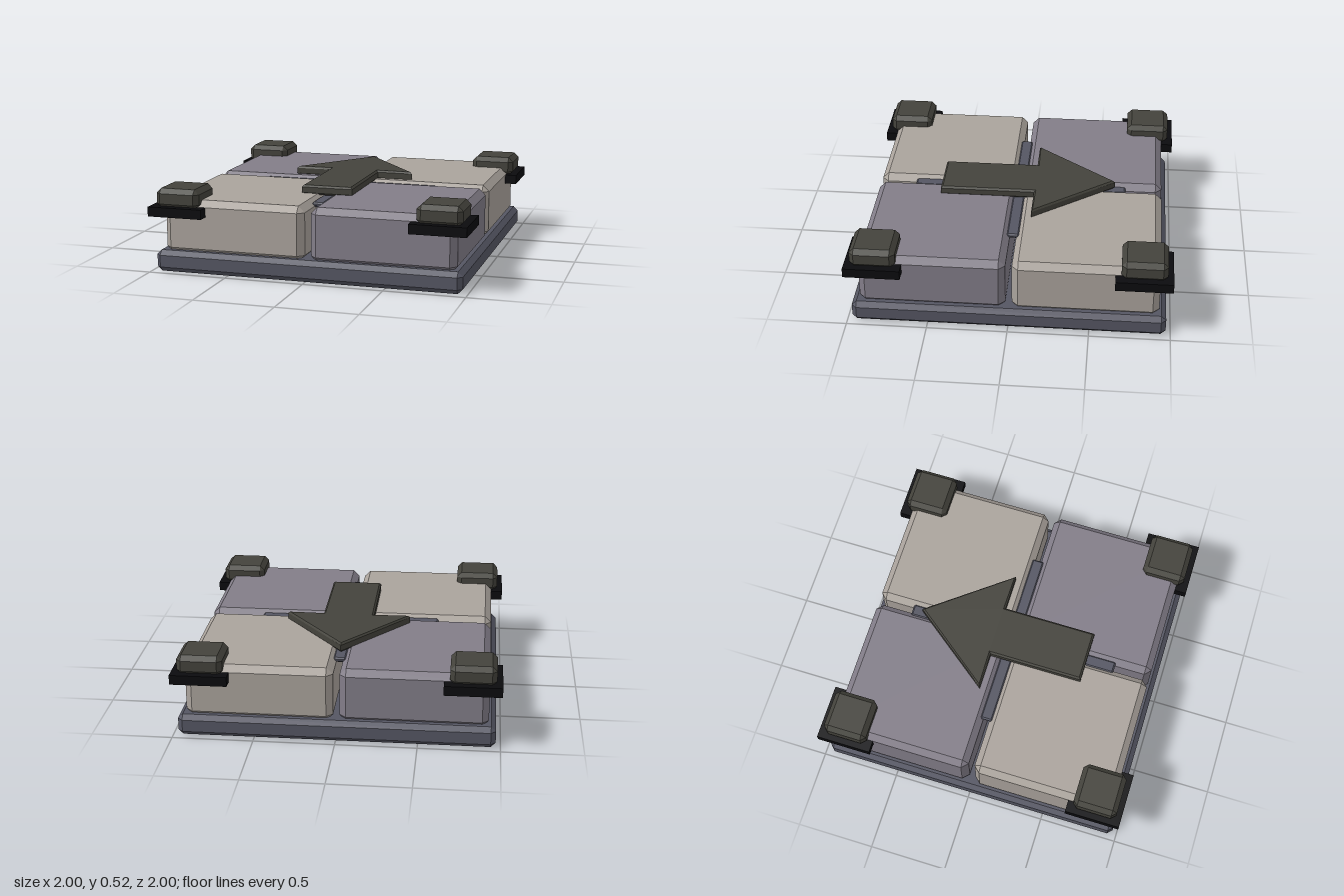
import * as THREE from 'three';
import { ConvexGeometry } from 'three/addons/geometries/ConvexGeometry.js';

const mat = (color) => new THREE.MeshStandardMaterial({ color, flatShading: true });
const slate = mat(0x555663);
const violet = mat(0x827d88);
const beige = mat(0xaaa39c);
const olive = mat(0x44433c);
const black = mat(0x0b0b0e);

// Box with every edge and corner cut by a flat chamfer
function chamferBox(w, h, d, b) {
  const half = [w / 2, h / 2, d / 2];
  const points = [];
  for (const sx of [-1, 1]) for (const sy of [-1, 1]) for (const sz of [-1, 1])
    for (let axis = 0; axis < 3; axis++) {
      const c = half.map((v, i) => (i === axis ? v : v - b));
      points.push(new THREE.Vector3(sx * c[0], sy * c[1], sz * c[2]));
    }
  return new ConvexGeometry(points);
}

// Outline given as [x, -z] pairs, raised along y from 0
function plate(outline, height, bevel) {
  const shape = new THREE.Shape(outline.map(([x, y]) => new THREE.Vector2(x, y)));
  const geo = new THREE.ExtrudeGeometry(shape, {
    depth: height - 2 * bevel, bevelEnabled: bevel > 0, bevelSegments: 1,
    bevelSize: bevel, bevelThickness: bevel, bevelOffset: -bevel,
  });
  return geo.translate(0, 0, bevel).rotateX(-Math.PI / 2);
}

export function createModel() {
  const model = new THREE.Group();
  const add = (name, geo, material, x = 0, y = 0, z = 0) => {
    const mesh = new THREE.Mesh(geo, material);
    mesh.name = name;
    mesh.position.set(x, y, z);
    model.add(mesh);
    return mesh;
  };

  add('base', chamferBox(1.94, 0.135, 1.94, 0.03), slate, 0, 0.0675, 0);

  const tile = chamferBox(0.905, 0.345, 0.905, 0.04);
  const cap = chamferBox(0.28, 0.125, 0.28, 0.03);
  // L-shaped bracket wrapping a corner
  const bracket = plate([[0, 0], [0.35, 0], [0.35, 0.12], [0.12, 0.12], [0.12, 0.35], [0, 0.35]], 0.06, 0);

  // Four quarters: tile, corner bracket and cap
  for (const sx of [-1, 1]) for (const sz of [-1, 1]) {
    const side = (sz > 0 ? 'front' : 'back') + (sx > 0 ? 'Left' : 'Right');
    add(side + 'Tile', tile, sx * sz > 0 ? violet : beige, sx * 0.4725, 0.2825, sz * 0.4725);
    add(side + 'Cap', cap, olive, sx * 0.825, 0.4625, sz * 0.825);
    const corner = add(side + 'Bracket', bracket, black, sx, 0.355, sz);
    // The outline opens toward +x and -z, so turn it inward
    corner.rotation.y = sz > 0 ? (sx < 0 ? 0 : Math.PI / 2) : (sx > 0 ? Math.PI : -Math.PI / 2);
  }

  // Crossed strips in the grooves between tiles
  add('crossStrip', chamferBox(1.16, 0.03, 0.08, 0.01), slate, 0, 0.424, 0);
  add('lengthStrip', chamferBox(0.08, 0.03, 1.38, 0.01), slate, 0, 0.424, 0);

  // Arrow pointing to the back
  const arrow = [[-0.165, -0.505], [0.165, -0.505], [0.165, 0.1], [0.4, 0.1],
    [0, 0.62], [-0.4, 0.1], [-0.165, 0.1]];
  add('arrow', plate(arrow, 0.06, 0.012), olive, 0, 0.445, 0);

  return model;
}
